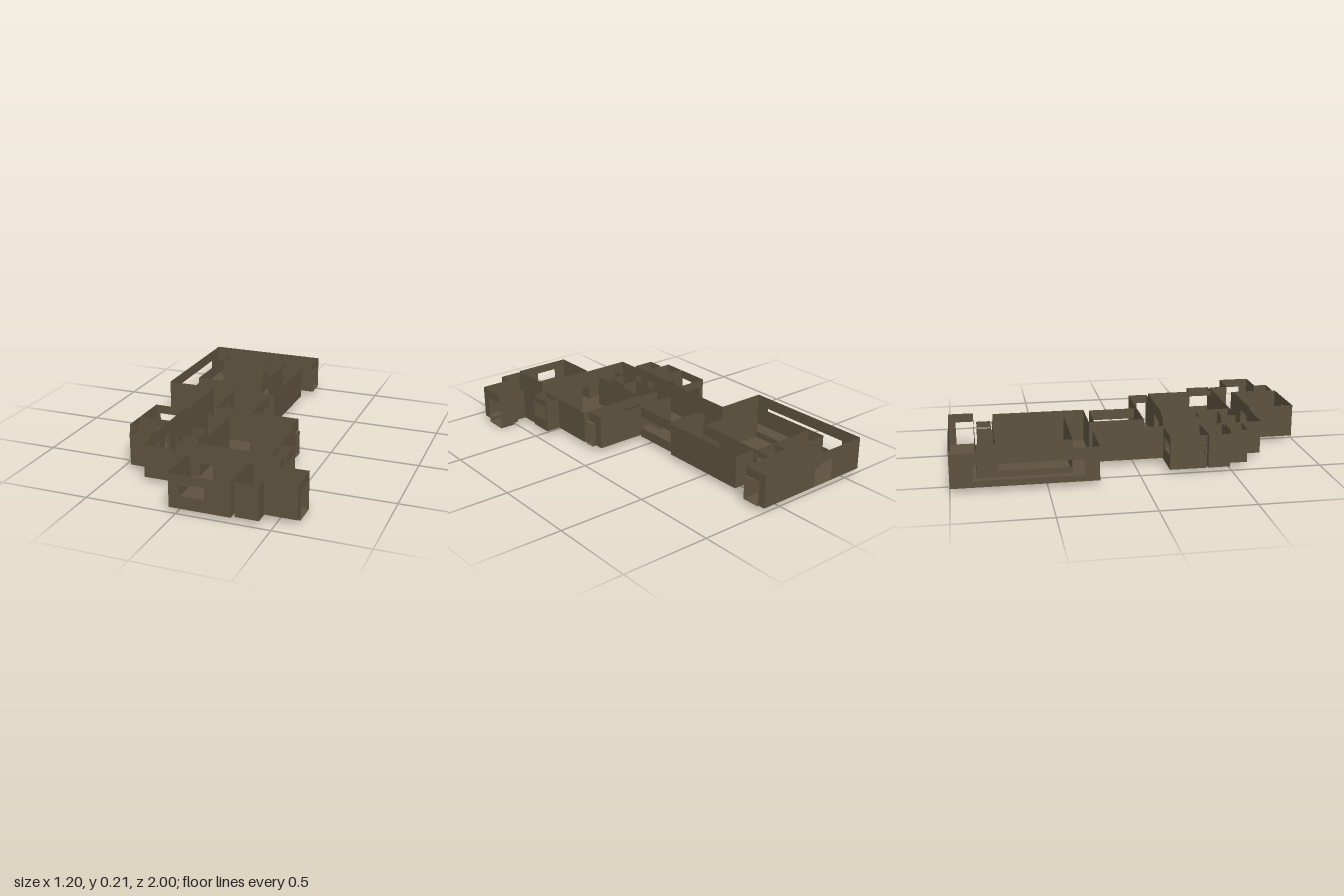
import * as THREE from 'three';

const FLOOR = 0.025, TOP = 0.21, DOOR = 0.16;
const material = new THREE.MeshStandardMaterial({ color: 0x5e523e, side: THREE.DoubleSide, flatShading: true });

// Outlines as [x, z] corners
const corridor = [
  [0.11, -1], [-0.6, -1], [-0.6, -0.23], [-0.31, -0.23], [-0.31, 0.715], [0.305, 0.715], [0.305, 0.975],
  [0.43, 0.975], [0.43, 0.9], [0.6, 0.9], [0.6, 0.72], [0.43, 0.72], [0.43, 0.61], [-0.17, 0.61],
  [-0.17, 0.525], [-0.08, 0.525], [-0.08, 0.4], [-0.17, 0.4], [-0.17, 0.19], [0.33, 0.19], [0.33, 0.08],
  [-0.17, 0.08], [-0.17, -0.23], [0.075, -0.23], [0.075, -0.75], [-0.05, -0.75], [-0.05, -0.355],
  [-0.465, -0.355], [-0.465, -0.86], [0.11, -0.86],
];
const rect = (x0, x1, z0, z1) => [[x0, z0], [x1, z0], [x1, z1], [x0, z1]];
const rooms = {
  northHall: rect(-0.46, -0.06, -0.76, -0.36),
  northAlcove: rect(-0.19, -0.06, -0.845, -0.768),
  middleRoom: rect(-0.165, 0.055, -0.2, 0.065),
  southHall: rect(-0.04, 0.355, 0.205, 0.6),
  closet: rect(0.355, 0.44, 0.465, 0.6),
  frontRoom: rect(-0.04, 0.29, 0.73, 0.99),
  sideRoomBack: rect(-0.505, -0.325, 0.16, 0.362),
  sideRoomMiddle: rect(-0.505, -0.325, 0.37, 0.49),
  sideRoomFront: rect(-0.45, -0.325, 0.505, 0.6),
};

// Doorways and windows: passage axis, x range, z range, y range
const openings = [
  ['x', 0.11, 0.12, -0.96, -0.86, FLOOR, DOOR],
  ['x', 0.33, 0.355, 0.13, 0.19, FLOOR, DOOR],
  ['x', 0.6, 0.6, 0.72, 0.85, FLOOR, DOOR],
  ['z', -0.385, -0.255, -1, -1, FLOOR, 0.15],
  ['x', -0.6, -0.6, -0.88, -0.31, 0.06, 0.145],
  ['x', -0.465, -0.46, -0.75, -0.36, 0.06, 0.145],
  ['x', -0.06, -0.05, -0.49, -0.36, FLOOR, DOOR],
  ['z', -0.19, -0.06, -0.768, -0.76, FLOOR, DOOR],
  ['x', -0.06, -0.06, -0.845, -0.768, 0.095, 0.175],
  ['x', -0.17, -0.165, -0.14, 0.065, FLOOR, DOOR],
  ['x', 0.055, 0.055, -0.2, 0.065, 0.08, 0.15],
  ['z', -0.04, 0.09, 0.19, 0.205, FLOOR, DOOR],
  ['z', -0.04, 0.09, 0.6, 0.61, FLOOR, DOOR],
  ['z', -0.04, 0.09, 0.715, 0.73, FLOOR, DOOR],
  ['x', 0.355, 0.355, 0.465, 0.6, FLOOR, 0.18],
  ['x', 0.44, 0.44, 0.475, 0.6, 0.09, 0.175],
  ['z', 0.025, 0.16, 0.99, 1, 0.1, DOOR],
  ['x', -0.325, -0.31, 0.4, 0.46, FLOOR, DOOR],
  ['x', -0.325, -0.31, 0.52, 0.58, FLOOR, DOOR],
  ['z', -0.45, -0.325, 0.362, 0.37, FLOOR, DOOR],
  ['z', -0.48, -0.36, 0.16, 0.16, 0.1, DOOR],
  ['x', -0.505, -0.505, 0.27, 0.35, 0.1, DOOR],
].map(([axis, x0, x1, z0, z1, y0, y1]) => ({ axis, x: [x0, x1], z: [z0, z1], y: [y0, y1] }));

function add(group, name, geometry) {
  const mesh = new THREE.Mesh(geometry, material);
  mesh.name = name;
  group.add(mesh);
  return mesh;
}

function box(group, name, x0, x1, y0, y1, z0, z1) {
  add(group, name, new THREE.BoxGeometry(x1 - x0, y1 - y0, z1 - z0))
    .position.set((x0 + x1) / 2, (y0 + y1) / 2, (z0 + z1) / 2);
}

// Thin upright panel across the given axis
function panel(group, name, axis, at, a, b, y0, y1) {
  if (b - a < 1e-4 || y1 - y0 < 1e-4) return;
  const mesh = add(group, name, new THREE.PlaneGeometry(b - a, y1 - y0));
  const mid = (a + b) / 2;
  if (axis === 'x') mesh.rotation.y = Math.PI / 2;
  mesh.position.set(axis === 'x' ? at : mid, (y0 + y1) / 2, axis === 'x' ? mid : at);
}

function slab(group, name, outline, y) {
  const geometry = new THREE.ShapeGeometry(new THREE.Shape(outline.map(([x, z]) => new THREE.Vector2(x, -z))));
  geometry.rotateX(-Math.PI / 2).translate(0, y, 0);
  add(group, name, geometry);
}

// Wall between two corners, left open wherever a doorway or window crosses it
function wall(group, [xa, za], [xb, zb]) {
  const axis = xa === xb ? 'x' : 'z', along = axis === 'x' ? 'z' : 'x';
  const at = axis === 'x' ? xa : za;
  const [a, b] = (axis === 'x' ? [za, zb] : [xa, xb]).sort((p, q) => p - q);
  const cuts = openings
    .filter(o => o.axis === axis && at > o[axis][0] - 0.001 && at < o[axis][1] + 0.001
      && o[along][0] < b - 0.001 && o[along][1] > a + 0.001)
    .sort((p, q) => p[along][0] - q[along][0]);
  let start = a;
  for (const o of cuts) {
    const lo = Math.max(a, o[along][0]), hi = Math.min(b, o[along][1]);
    panel(group, 'wall', axis, at, start, lo, FLOOR, TOP);
    panel(group, 'sill', axis, at, lo, hi, FLOOR, o.y[0]);
    panel(group, 'lintel', axis, at, lo, hi, o.y[1], TOP);
    start = hi;
  }
  panel(group, 'wall', axis, at, start, b, FLOOR, TOP);
}

function room(name, outline, floor = outline) {
  const group = new THREE.Group();
  group.name = name;
  slab(group, 'floor', floor, FLOOR);
  outline.forEach((p, i) => wall(group, p, outline[(i + 1) % outline.length]));
  return group;
}

export function createModel() {
  const model = new THREE.Group();
  model.name = 'floorPlan';

  // Corridor, its floor notched for the exit steps
  const notched = corridor.flatMap(p => (p[0] === 0.6 && p[1] === 0.72
    ? [[0.6, 0.85], [0.485, 0.85], [0.485, 0.72]] : [p]));
  model.add(room('corridor', corridor, notched));
  for (const [name, outline] of Object.entries(rooms)) model.add(room(name, outline));

  // Linings of the doorways and windows that bridge two walls
  const linings = new THREE.Group();
  linings.name = 'linings';
  for (const { axis, x, y, z } of openings) {
    const depth = axis === 'x' ? x : z, width = axis === 'x' ? z : x;
    if (depth[1] - depth[0] < 0.001) continue;
    for (const h of y) slab(linings, 'lining', rect(...x, ...z), h);
    for (const w of width) panel(linings, 'jamb', axis === 'x' ? 'z' : 'x', w, ...depth, ...y);
  }
  model.add(linings);

  // Exit steps going down to the outer door
  const steps = new THREE.Group();
  steps.name = 'exitSteps';
  box(steps, 'upperStep', 0.485, 0.51, 0.012, 0.016, 0.72, 0.85);
  box(steps, 'lowerStep', 0.51, 0.6, 0, 0.004, 0.72, 0.85);
  panel(steps, 'riser', 'x', 0.485, 0.72, 0.85, 0.012, FLOOR);
  panel(steps, 'riser', 'x', 0.51, 0.72, 0.85, 0, 0.016);
  for (const z of [0.72, 0.85]) {
    panel(steps, 'stepSide', 'z', z, 0.485, 0.51, 0.012, FLOOR);
    panel(steps, 'stepSide', 'z', z, 0.51, 0.6, 0, FLOOR);
  }
  model.add(steps);

  // Benches and shelf below the windows
  box(model, 'frontBench', 0.025, 0.225, FLOOR, 0.09, 0.925, 0.99);
  box(model, 'sideBench', -0.5, -0.345, FLOOR, 0.09, 0.16, 0.25);
  box(model, 'windowShelf', -0.01, 0.055, FLOOR, 0.08, -0.2, 0.065);

  return model;
}
